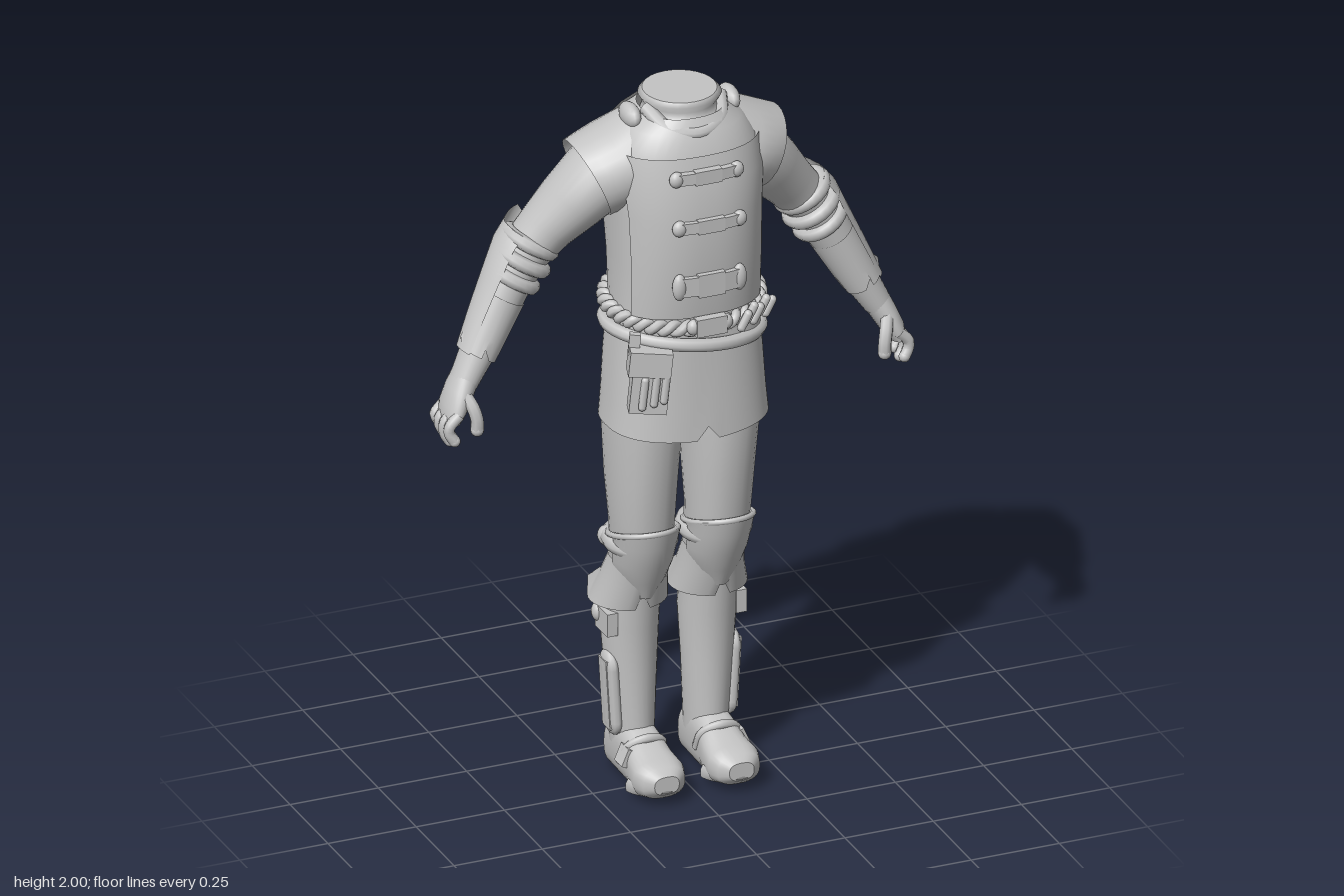
import * as THREE from 'three';

const V = (x, y, z) => new THREE.Vector3(x, y, z);
const X = V(1, 0, 0), Y = V(0, 1, 0), Z = V(0, 0, 1);

// Skin through rings [x, y, z, radius along u, radius along v]; u = v x direction.
function loft(rows, { v = X, axis = null, seg = 28, p = 2, a0 = 0, a1 = Math.PI * 2, caps = false, mod = null } = {}) {
  const pos = [], idx = [], closed = a1 - a0 > 6.28;
  const cols = closed ? seg : seg + 1;
  const c = rows.map(r => V(r[0], r[1], r[2]));
  const pw = t => Math.sign(t) * Math.abs(t) ** (2 / p);
  rows.forEach((r, i) => {
    const w = axis || c[Math.min(i + 1, c.length - 1)].clone().sub(c[Math.max(i - 1, 0)]).normalize();
    const u = v.clone().cross(w).normalize();
    for (let j = 0; j < cols; j++) {
      const a = a0 + (a1 - a0) * j / seg;
      const q = c[i].clone().addScaledVector(u, r[3] * pw(Math.cos(a))).addScaledVector(v, r[4] * pw(Math.sin(a)));
      if (mod) mod(q, i, j);
      pos.push(q.x, q.y, q.z);
    }
  });
  for (let i = 0; i < rows.length - 1; i++) for (let j = 0; j < seg; j++) {
    const k = (j + 1) % cols, a = i * cols + j, b = i * cols + k;
    idx.push(a, b, b + cols, a, b + cols, a + cols);
  }
  if (caps) [0, rows.length - 1].forEach(i => {
    const s = pos.length / 3;
    pos.push(...pos.slice(i * cols * 3, (i + 1) * cols * 3), ...c[i].toArray());
    for (let j = 0; j < cols; j++) {
      const k = (j + 1) % cols;
      i ? idx.push(s + j, s + k, s + cols) : idx.push(s + k, s + j, s + cols);
    }
  });
  const g = new THREE.BufferGeometry();
  g.setAttribute('position', new THREE.Float32BufferAttribute(pos, 3));
  g.setIndex(idx);
  g.computeVertexNormals();
  return g;
}

function mirror(geo) {
  const g = geo.clone().scale(-1, 1, 1), ix = Array.from(g.index.array);
  for (let i = 0; i < ix.length; i += 3) [ix[i], ix[i + 1]] = [ix[i + 1], ix[i]];
  return g.setIndex(ix);
}

const tube = (pts, r, closed = false, n = 24) =>
  new THREE.TubeGeometry(new THREE.CatmullRomCurve3(pts, closed), n, r, 8, closed);

// Band round an ellipse, rising by tilt along x and by lean along z
function ring(x, y, z, rx, rz, r, tilt = 0, lean = 0) {
  const pts = [];
  for (let i = 0; i < 16; i++) {
    const a = i / 8 * Math.PI, dx = rx * Math.sin(a), dz = rz * Math.cos(a);
    pts.push(V(x + dx, y + tilt * dx + lean * dz, z + dz));
  }
  return tube(pts, r, true, 48);
}

const ball = (x, y, z, a, b, c) => new THREE.SphereGeometry(1, 14, 10).scale(a, b, c).translate(x, y, z);
const box = (x, y, z, a, b, c, rz = 0, ry = 0) =>
  new THREE.BoxGeometry(a, b, c).rotateZ(rz).rotateY(ry).translate(x, y, z);

export function createModel() {
  const model = new THREE.Group();
  model.name = 'armouredOutfit';
  const grey = new THREE.MeshStandardMaterial({ color: 0xc4c4c4, side: THREE.DoubleSide });
  grey.name = 'plainGrey';
  const add = (name, geo) => {
    const m = new THREE.Mesh(geo, grey);
    m.name = name;
    model.add(m);
  };
  const pair = (name, geo) => { add(name + 'Left', geo); add(name + 'Right', mirror(geo)); };

  // Vest
  const grow = (rows, d) => rows.map(r => [r[0], r[1], r[2], r[3] + d, r[4] + d]);
  const torso = [
    [0, 1.28, .01, .158, .205], [0, 1.42, .01, .16, .194], [0, 1.55, .007, .178, .195], [0, 1.7, -.007, .193, .2],
    [0, 1.8, -.017, .187, .21], [0, 1.875, -.017, .168, .2], [0, 1.925, -.012, .137, .16], [0, 1.96, -.007, .11, .11]];
  add('vest', loft(torso, { axis: Y, p: 2.4, seg: 40 }));
  add('frontPanel', loft(grow(torso.slice(1, 6), .008), { axis: Y, p: 2.4, a0: -1.1, a1: 1.1 }));
  add('backYoke', loft(grow(torso.slice(5, 8), .008), { axis: Y, p: 2.4, a0: 2.45, a1: 3.83 }));

  // Collar with a flat top and a draped fold in front
  add('collar', loft([[0, 1.91, 0, .1, .105], [0, 1.93, 0, .116, .113], [0, 1.955, -.005, .105, .1],
    [0, 1.97, -.01, .1, .098], [0, 1.988, -.01, .11, .11], [0, 2, -.01, .1, .098]], { axis: Y, caps: true }));
  add('collarFold', tube([V(-.105, 1.97, .01), V(-.075, 1.935, .08), V(0, 1.92, .112), V(.075, 1.935, .08), V(.105, 1.97, .01)], .02));
  pair('shoulderKnot', ball(.14, 1.945, -.01, .025, .033, .05));

  // Front clasps
  [[1.825, .045, .168], [1.692, .045, .188], [1.522, .076, .188]].forEach(([y, h, z]) => {
    add('claspCentre', box(0, y, z + .008, .075, h * .85, .024));
    [-1, 1].forEach(s => {
      add('claspArm', box(s * .055, y, z + .004, .07, h * .7, .022, 0, s * .12));
      add('claspEnd', ball(s * .085, y, z + .001, .02, h / 2, .016));
    });
  });

  // Skirt, notched at the front hem
  add('skirt', loft([[0, 1.06, .015, .168, .222], [0, 1.15, .013, .165, .215], [0, 1.26, .01, .162, .208],
    [0, 1.36, .01, .158, .2]], { axis: Y, p: 2.5, seg: 72, mod: (q, i, j) => {
    if (i === 0) q.y += j === 0 ? .04 : .015 * Math.abs(q.x) / .22;
  } }));
  add('skirtInside', loft([[0, 1.12, .012, .15, .2], [0, 1.14, .012, .15, .2]], { axis: Y, p: 2.4, caps: true }));

  // Twisted rope belt and plain slanted belt
  for (let s = 0; s < 2; s++) {
    const pts = [];
    for (let i = 0; i < 144; i++) {
      const a = i / 72 * Math.PI, t = a * 18 + s * Math.PI, d = .012 * Math.cos(t);
      pts.push(V((.204 + d) * Math.sin(a), 1.41 + .012 * Math.sin(t) - .02 * Math.cos(a), .004 + (.172 + d) * Math.cos(a)));
    }
    add('ropeBelt', tube(pts, .013, true, 216));
  }
  add('slantedBelt', ring(0, 1.335, .008, .21, .17, .019, -.12));
  add('beltBuckle', box(0, 1.4, .195, .085, .05, .025));
  [-1, 1].forEach(s => add('buckleEnd', ball(s * .045, 1.4, .19, .02, .022, .017)));
  for (let i = 0; i < 5; i++)
    add('beltCharm', new THREE.CapsuleGeometry(.012, .04, 4, 8).rotateZ(-.5).translate(.1 + i * .023, 1.39 + (i % 2) * .014, .188 - i * .014));

  // Hip pouch
  add('pouch', box(-.155, 1.245, .155, .1, .16, .05, -.1, -.3));
  add('pouchFlap', box(-.157, 1.31, .16, .112, .07, .06, -.1, -.3));
  add('pouchStrap', box(-.19, 1.355, .135, .03, .06, .02, -.1, -.4));
  [-.18, -.15, -.125].forEach((x, i) =>
    add('pouchVial', new THREE.CapsuleGeometry(.011, .075, 4, 8).rotateZ(-.12).translate(x, 1.225 + i * .008, .174 + i * .008)));

  // Arms and flared sleeve caps
  pair('arm', loft([[.15, 1.83, -.04, .08, .1], [.21, 1.775, -.045, .093, .115], [.285, 1.69, -.072, .084, .098],
    [.345, 1.62, -.095, .072, .08], [.4, 1.555, -.105, .066, .07], [.45, 1.475, -.1, .062, .064],
    [.5, 1.385, -.09, .055, .058], [.55, 1.295, -.078, .045, .05], [.585, 1.235, -.07, .038, .046]], { v: Z, caps: true }));
  pair('sleeveCap', loft([[.1, 1.83, -.03, .122, .13], [.17, 1.805, -.032, .115, .14], [.22, 1.785, -.037, .112, .132],
    [.25, 1.77, -.042, .113, .122]], { v: Z, axis: V(.92, -.39, 0) }));

  // Forearm wraps and the plate behind them, peaked at the elbow
  const armDir = V(.52, -.85, 0);
  [[.385, 1.585, .064], [.41, 1.54, .066], [.435, 1.495, .061]].forEach(([x, y, r]) =>
    pair('forearmWrap', new THREE.TorusGeometry(r, .02, 8, 24).lookAt(armDir).translate(x, y, -.1)));
  pair('bracer', loft([[.38, 1.6, -.11, .076, .083], [.405, 1.56, -.107, .084, .084], [.45, 1.475, -.1, .077, .074],
    [.5, 1.385, -.09, .068, .064], [.55, 1.3, -.078, .055, .054]], { v: Z, a0: -2.3, a1: .8, seg: 16,
    mod: (q, i, j) => {
      const peak = i === 0 ? Math.max(0, 1 - Math.abs(j - 5) / 5) : 0;
      q.add(V(-.02, .035, -.012).multiplyScalar(peak));
    } }));
  pair('bracerCuff', loft([[.465, 1.45, -.097, .063, .066], [.52, 1.35, -.084, .057, .06], [.545, 1.305, -.077, .053, .057]],
    { v: Z, mod: (q, i, j) => { if (i === 2) q.y += j % 7 === 0 ? .03 : 0; } }));

  // Hands
  pair('palm', loft([[.575, 1.255, -.073, .038, .045], [.6, 1.21, -.068, .035, .055], [.62, 1.17, -.062, .031, .06],
    [.632, 1.14, -.06, .022, .055]], { v: Z, caps: true }));
  [[-.108, .025], [-.077, .01], [-.045, 0], [-.013, .012]].forEach(([z, up]) => {
    pair('finger', tube([V(.622, 1.165, z), V(.65, 1.135, z), V(.65, 1.105 + up, z), V(.638, 1.083 + up, z + .004)], .0155, false, 10));
    pair('fingertip', ball(.637, 1.082 + up, z + .004, .0155, .0155, .0155));
  });
  pair('thumb', tube([V(.6, 1.215, -.035), V(.585, 1.18, -.008), V(.578, 1.15, 0), V(.577, 1.12, 0)], .018, false, 10));
  pair('thumbTip', ball(.577, 1.12, 0, .018, .018, .018));

  // Trouser legs
  pair('leg', loft([[.105, .6, -.055, .083, .072], [.105, .7, -.02, .094, .077], [.108, .78, -.01, .105, .082],
    [.109, .9, -.012, .119, .09], [.11, 1.05, -.005, .134, .097], [.11, 1.16, -.005, .134, .097]], { axis: Y, p: 2.2 }));

  // Knee guards, dipping to the sides, with bands behind
  pair('kneeGuard', loft([[.105, .55, -.055, .082, .04], [.105, .6, -.042, .09, .07], [.105, .66, -.022, .098, .084],
    [.105, .72, -.003, .1, .088], [.105, .775, 0, .11, .094]], { axis: Y, a0: -1.5, a1: 1.5, seg: 20,
    mod: (q, i, j) => { if (i === 4) q.y -= .035 * (j / 10 - 1) ** 2; } }));
  pair('kneeRim', ring(.107, .74, -.003, .088, .108, .008, 0, .3));
  pair('kneeBand', ring(.105, .705, -.03, .076, .09, .024));
  pair('kneeKnot', ball(.175, .7, -.08, .025, .028, .032));

  // Tall boots with notched turned-down cuffs
  pair('bootShaft', loft([[.105, .06, -.085, .076, .054], [.105, .15, -.083, .076, .058], [.108, .3, -.083, .075, .068],
    [.11, .45, -.087, .085, .077], [.108, .6, -.065, .084, .074]], { axis: Y }));
  pair('bootCuff', loft([[.113, .515, -.09, .103, .106], [.108, .59, -.06, .096, .088], [.105, .66, -.03, .086, .08]],
    { axis: Y, seg: 32, mod: (q, i, j) => { if (i === 0) q.y += [0, 11, 16, 21].includes(j) ? .045 : 0; } }));
  pair('bootFoot', loft([[.105, .055, -.162, .05, .035], [.105, .07, -.145, .07, .052], [.105, .085, -.06, .085, .058],
    [.105, .08, 0, .08, .058], [.105, .068, .05, .062, .066], [.106, .066, .1, .053, .072],
    [.106, .066, .135, .043, .06], [.106, .066, .155, .025, .035]],
  { axis: Z, p: 2.6, caps: true, mod: q => { q.y = Math.max(q.y, .002 + Math.max(0, q.z) * .14); } }));
  pair('toeWelt', loft([[.106, .02, .04, .075, .074], [.106, .045, .04, .118, .078], [.106, .058, .04, .112, .07]], { axis: Y, a0: -1.4, a1: 1.4 }));

  // Outer boot plate, buckles and ankle strap
  pair('shinPlate', new THREE.CapsuleGeometry(.045, .15, 6, 12).scale(.45, 1.03, 1).rotateZ(-.06).translate(.168, .25, -.072));
  pair('shinPlateRib', box(.176, .25, -.072, .022, .2, .05, -.06));
  pair('calfBuckle', box(.183, .465, -.065, .03, .065, .08));
  pair('calfBuckleKnob', ball(.192, .475, -.1, .018, .027, .022));
  pair('ankleStrap', tube([V(.052, .07, -.02), V(.06, .125, .01), V(.105, .145, .025), V(.15, .125, .01), V(.165, .07, -.02)], .013));
  pair('ankleBuckle', box(.163, .1, .01, .022, .05, .05, .4));
  return model;
}
